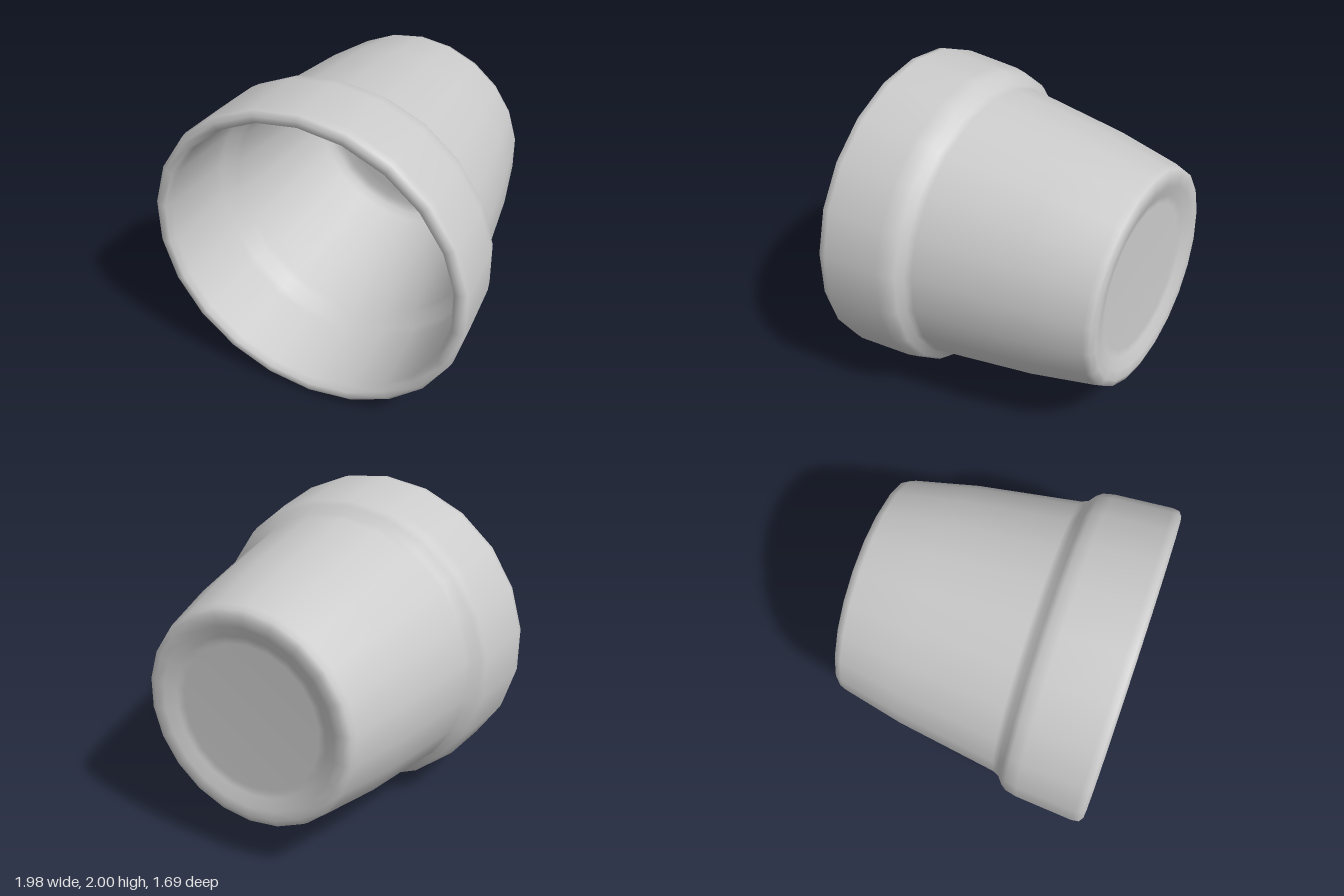
import * as THREE from 'three';

// Each profile point is [radius, position along the pot's axis]
function lathe(name, profile, material) {
  const points = profile.map(([r, a]) => new THREE.Vector2(r, a));
  const mesh = new THREE.Mesh(new THREE.LatheGeometry(points, 22), material);
  mesh.name = name;
  return mesh;
}

export function createModel() {
  const group = new THREE.Group();
  group.name = 'flowerPot';
  const clay = new THREE.MeshStandardMaterial({ color: 0xcccccc });

  // Recessed base, rounded foot, tapered wall, thick collar, lip and hollow inside
  const pot = lathe('potBody', [
    // underside
    [0, -0.8], [0.46, -0.8], [0.51, -0.81], [0.58, -0.84], [0.64, -0.845],
    // foot and tapered wall
    [0.68, -0.83], [0.695, -0.79], [0.78, -0.4], [0.875, 0.24],
    // collar
    [0.892, 0.28], [0.935, 0.315], [0.96, 0.35], [0.975, 0.42], [1, 0.78],
    // lip
    [0.993, 0.825], [0.965, 0.845], [0.925, 0.84], [0.905, 0.8],
    // inside of the collar, wall and floor
    [0.88, 0.36], [0.865, 0.31], [0.815, 0.25], [0.8, 0.2],
    [0.66, -0.64], [0.635, -0.69], [0.58, -0.71], [0.5, -0.71], [0, -0.71],
  ], clay);

  // The pot lies on its side with the opening facing forward
  pot.rotation.x = Math.PI / 2;
  pot.position.y = 1;
  group.add(pot);
  return group;
}
